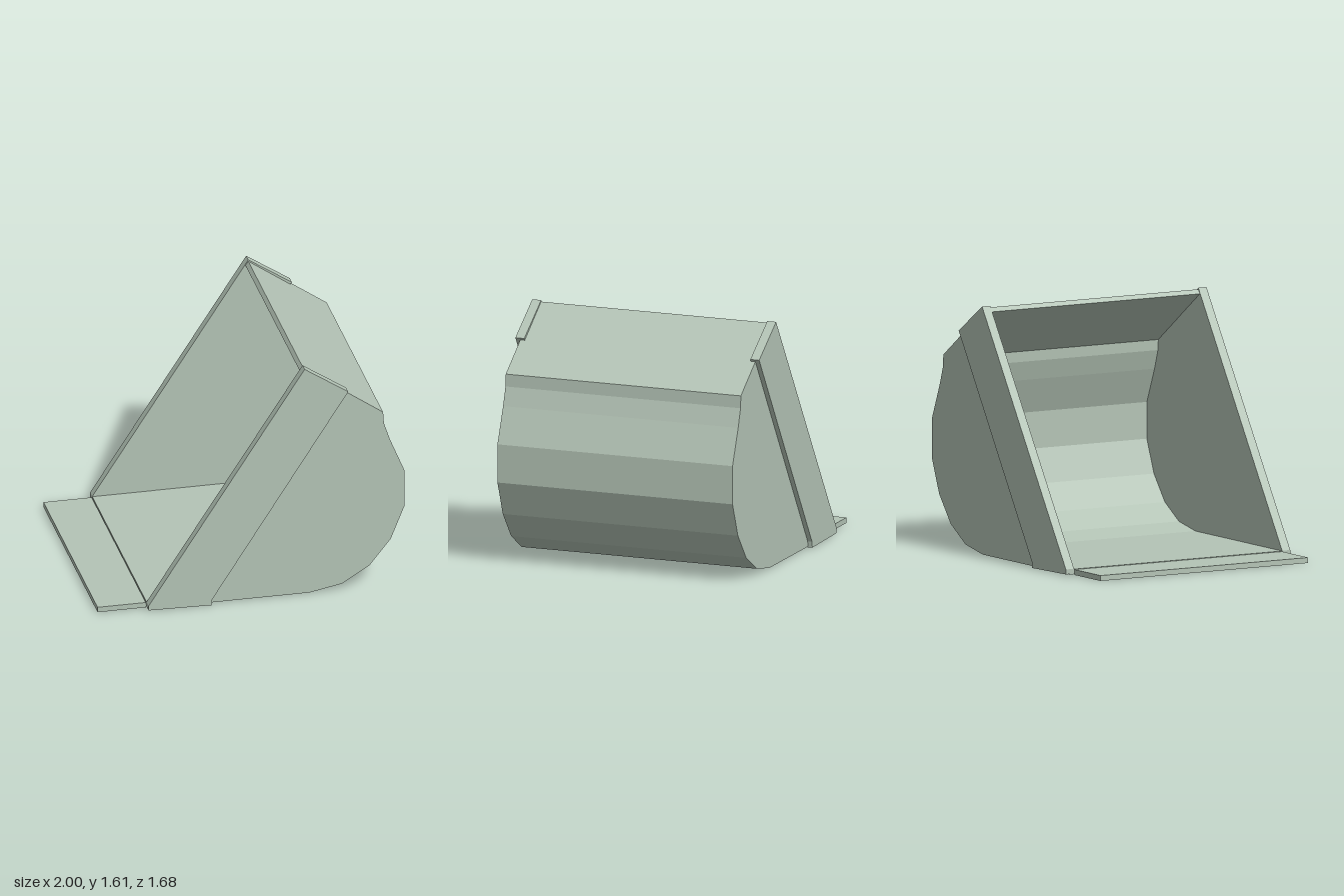
import * as THREE from 'three';

export function createModel() {
  const bucket = new THREE.Group();
  bucket.name = 'bucket';
  const material = new THREE.MeshStandardMaterial({ color: 0xb4c4b6, flatShading: true });

  // Outer curve of the shell, from the cutting edge round the back to the top rim
  const outer = [
    [-0.68, 0.005], [0.38, 0.005], [0.59, 0.045], [0.77, 0.155], [0.91, 0.33], [1, 0.555],
    [1, 0.805], [0.905, 1.035], [0.865, 1.155], [0.86, 1.235], [0.34, 1.6],
  ].map(([x, y]) => new THREE.Vector2(x, y));

  // Prism of a front-view outline between two depths
  function addPlate(name, points, z0, z1) {
    const geometry = new THREE.ExtrudeGeometry(new THREE.Shape(points), { depth: z1 - z0, bevelEnabled: false });
    geometry.translate(0, 0, z0);
    const mesh = new THREE.Mesh(geometry, material);
    mesh.name = name;
    bucket.add(mesh);
  }

  // Curve moved inward by the plate thickness, with mitred corners
  function inset(points, t) {
    const normal = (a, b) => new THREE.Vector2(a.y - b.y, b.x - a.x).normalize();
    return points.map((p, i) => {
      const before = normal(points[Math.max(i - 1, 0)], points[Math.max(i, 1)]);
      const last = points.length - 1;
      const after = normal(points[Math.min(i, last - 1)], points[Math.min(i + 1, last)]);
      const miter = before.clone().add(after).normalize();
      return p.clone().addScaledVector(miter, t / miter.dot(after));
    });
  }

  // Curved shell: floor, faceted back and top plate
  addPlate('shell', [...outer, ...inset(outer, 0.033).reverse()], -0.78, 0.78);

  // Cutting lip in front of the floor
  const lip = [[-1, 0], [-0.685, 0], [-0.685, 0.008], [-0.4, 0.008], [-0.4, 0.012], [-0.68, 0.012], [-0.685, 0.035], [-1, 0.035]];
  addPlate('cuttingLip', lip.map(([x, y]) => new THREE.Vector2(x, y)), -0.777, 0.777);

  // Side walls and the thicker bars along their open edges
  const wall = [...outer, new THREE.Vector2(-0.67, 0.04)];
  const bar = [[-0.68, 0.008], [-0.27, 0], [-0.265, 0.04], [0.625, 1.42], [0.34, 1.61], [-0.68, 0.04]]
    .map(([x, y]) => new THREE.Vector2(x, y));
  for (const side of [-1, 1]) {
    const label = side > 0 ? 'left' : 'right';
    const span = (a, b) => (side > 0 ? [a, b] : [-b, -a]);
    addPlate(label + 'SideWall', wall, ...span(0.78, 0.81));
    addPlate(label + 'EdgeBar', bar, ...span(0.779, 0.84));
  }
  return bucket;
}
